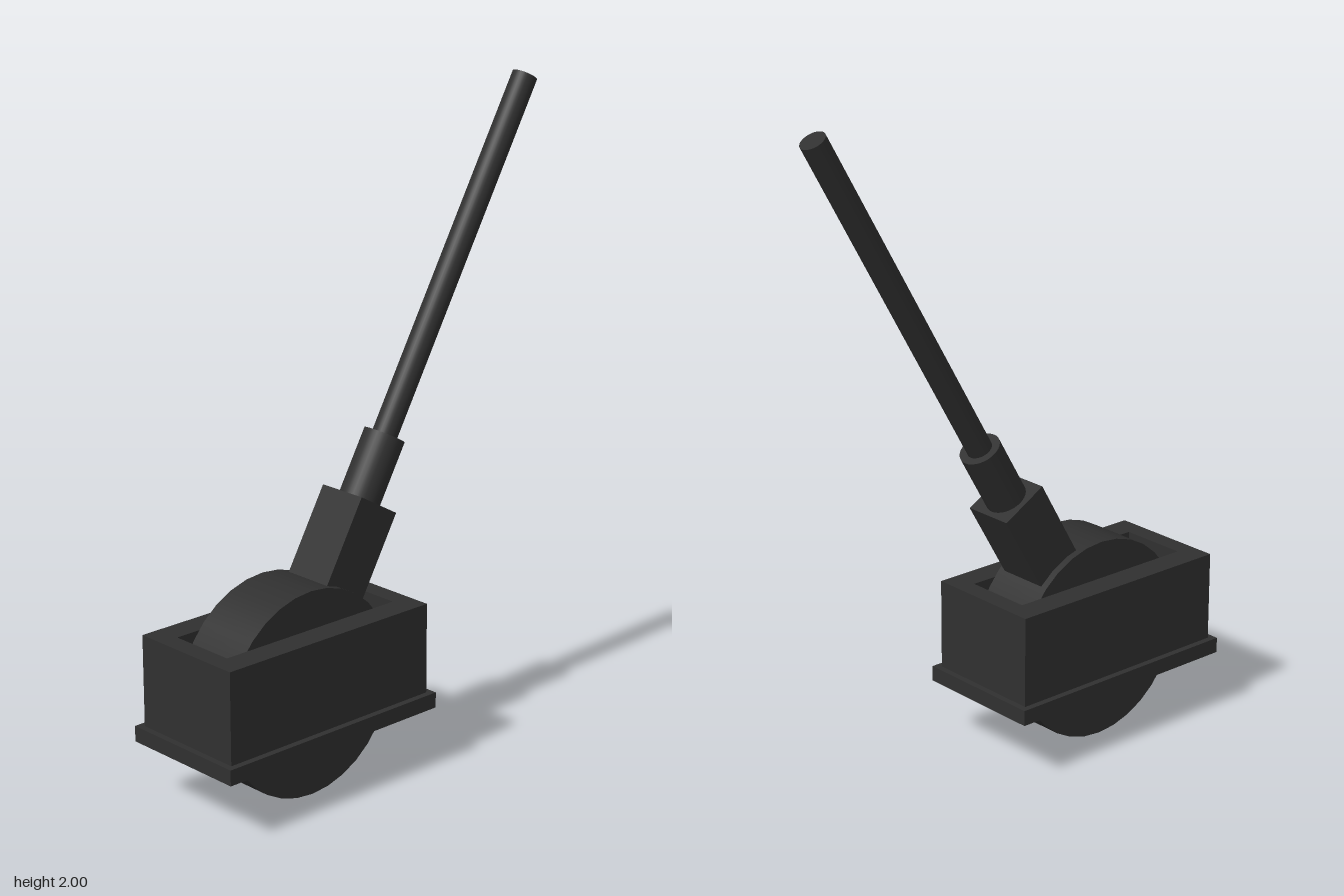
import * as THREE from 'three';

const WHEEL_Y = 0.315;
const WHEEL_Z = 0.3;

// Rectangular ring lying flat: outer and inner half sizes in x and z, from y0 to y1
function frame(outX, outZ, inX, inZ, y0, y1) {
  const rect = (target, x, z) => {
    target.moveTo(-x, -z);
    target.lineTo(x, -z);
    target.lineTo(x, z);
    target.lineTo(-x, z);
    target.closePath();
    return target;
  };
  const shape = rect(new THREE.Shape(), outX, outZ);
  shape.holes.push(rect(new THREE.Path(), inX, inZ));
  const geo = new THREE.ExtrudeGeometry(shape, { depth: y1 - y0, bevelEnabled: false });
  geo.rotateX(-Math.PI / 2);
  geo.translate(0, y0, WHEEL_Z);
  return geo;
}

export function createModel() {
  const model = new THREE.Group();
  model.name = 'lever';
  const darkMetal = new THREE.MeshStandardMaterial({ color: 0x303030 });
  darkMetal.name = 'dark metal';

  const add = (parent, name, geo) => {
    const mesh = new THREE.Mesh(geo, darkMetal);
    mesh.name = name;
    parent.add(mesh);
    return mesh;
  };

  // Housing: hollow below, with a slotted top plate and a flange at the bottom
  add(model, 'housingWalls', frame(0.19, 0.38, 0.17, 0.36, 0.235, 0.485));
  add(model, 'housingTop', frame(0.19, 0.38, 0.108, 0.32, 0.485, 0.515));
  add(model, 'flange', frame(0.21, 0.4, 0.17, 0.36, 0.187, 0.235));

  // Wheel, turning about the x axis
  const wheel = new THREE.CylinderGeometry(0.315, 0.315, 0.21, 32);
  wheel.rotateZ(Math.PI / 2);
  add(model, 'wheel', wheel).position.set(0, WHEEL_Y, WHEEL_Z);

  // Arm, tilted back 30 degrees about the wheel centre
  const arm = new THREE.Group();
  arm.name = 'arm';
  arm.position.set(0, WHEEL_Y, WHEEL_Z);
  arm.rotation.x = -Math.PI / 6;
  model.add(arm);

  const alongArm = (geo, from, to) => geo.translate(0, (from + to) / 2, 0);
  add(arm, 'armBlock', alongArm(new THREE.BoxGeometry(0.164, 0.327, 0.16), 0.25, 0.577));
  add(arm, 'collar', alongArm(new THREE.CylinderGeometry(0.063, 0.063, 0.208, 32), 0.57, 0.778));
  add(arm, 'rod', alongArm(new THREE.CylinderGeometry(0.0385, 0.0385, 1.153, 32), 0.77, 1.923));

  return model;
}
